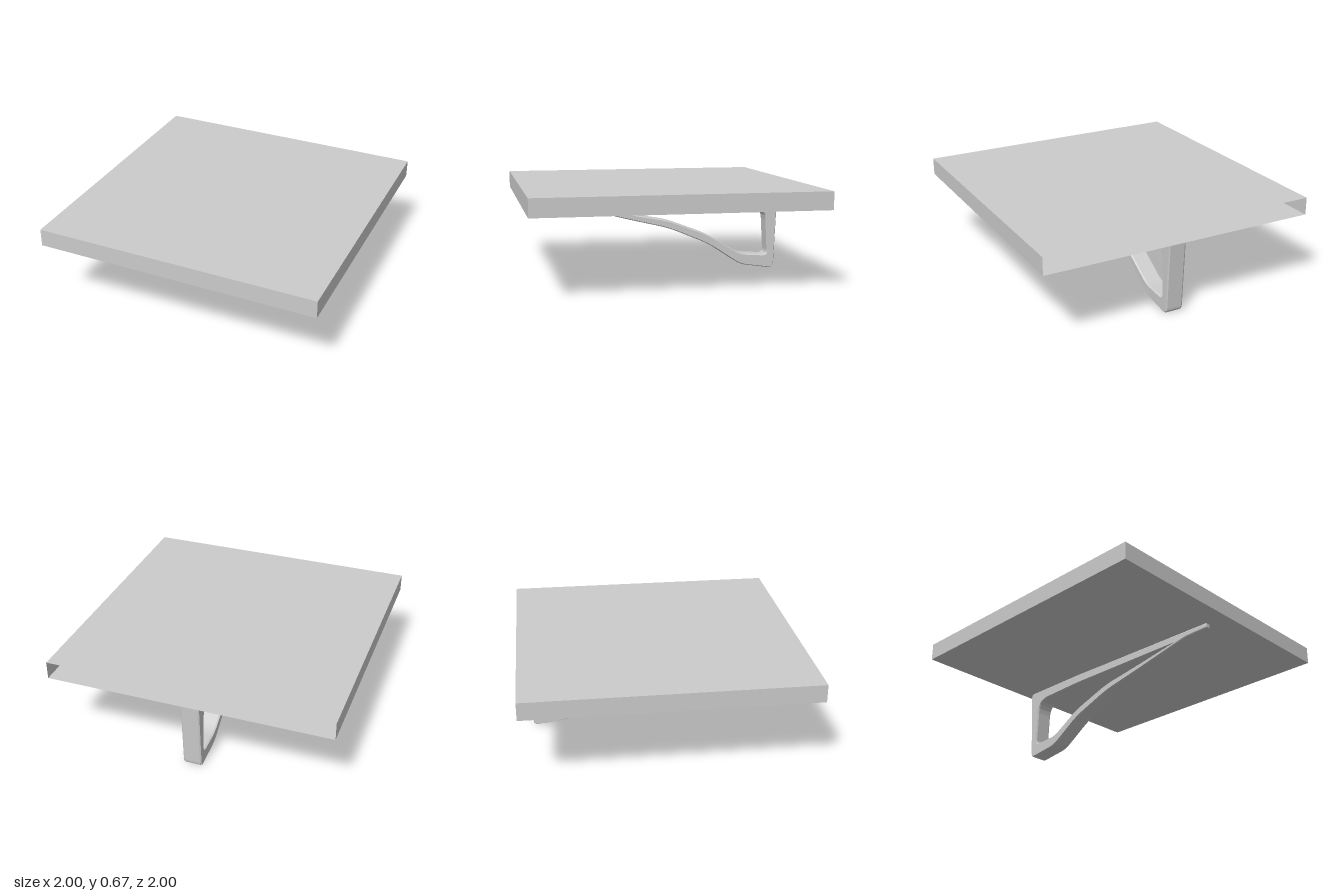
import * as THREE from 'three';

// Adds a closed polygon to a path; each point is [z, y, cornerRadius].
function roundedPath(path, pts) {
  const n = pts.length;
  pts.forEach(([x, y, r], i) => {
    const p = new THREE.Vector2(x, y);
    const toward = ([ax, ay]) => {
      const d = new THREE.Vector2(ax, ay).sub(p);
      return d.setLength(Math.min(r, d.length() * 0.45)).add(p);
    };
    const a = toward(pts[(i + n - 1) % n]);
    const b = toward(pts[(i + 1) % n]);
    if (i === 0) path.moveTo(a.x, a.y);
    else path.lineTo(a.x, a.y);
    if (r > 0) path.quadraticCurveTo(p.x, p.y, b.x, b.y);
  });
  path.closePath();
  return path;
}

export function createModel() {
  const group = new THREE.Group();

  // Hollow slab, open at the back: the last box face (-z) is dropped
  const slabGeo = new THREE.BoxGeometry(2, 0.125, 2);
  slabGeo.setIndex(Array.from(slabGeo.index.array).slice(0, 30));
  slabGeo.clearGroups();
  const slab = new THREE.Mesh(slabGeo,
    new THREE.MeshStandardMaterial({ color: 0xcccccc, side: THREE.DoubleSide }));
  slab.name = 'slab';
  slab.position.y = 0.6205;
  group.add(slab);

  // Bracket side profile with its long tapering opening
  const outline = roundedPath(new THREE.Shape(), [
    [0.84, 0.558, 0], [0.84, 0.525, 0.008], [0.65, 0.515, 0.03], [0.2, 0.4, 0.06],
    [-0.1, 0.33, 0.07], [-0.4, 0.205, 0.07], [-0.65, 0.04, 0.05], [-0.91, 0.003, 0.04],
    [-0.935, 0.557, 0.035], [-0.4, 0.558, 0],
  ]);
  outline.holes.push(roundedPath(new THREE.Path(), [
    [0.55, 0.506, 0], [-0.4, 0.486, 0], [-0.84, 0.472, 0.1], [-0.86, 0.105, 0.04],
    [-0.65, 0.12, 0.05], [-0.4, 0.27, 0.07], [-0.1, 0.385, 0.07], [0.2, 0.44, 0.06],
  ]));
  const half = 0.065, bevel = 0.01;
  const geo = new THREE.ExtrudeGeometry(outline, {
    depth: 2 * (half - bevel), curveSegments: 5,
    bevelThickness: bevel, bevelSize: 0.006, bevelOffset: -0.006, bevelSegments: 1,
  });
  geo.translate(0, 0, -(half - bevel));
  geo.rotateY(-Math.PI / 2);

  // Narrow the bracket towards its front tip
  const pos = geo.attributes.position;
  for (let i = 0; i < pos.count; i++) {
    const t = THREE.MathUtils.clamp((pos.getZ(i) + 0.4) / 1.24, 0, 1);
    pos.setX(i, pos.getX(i) * (1 - 0.7 * t));
  }
  geo.computeVertexNormals();
  const bracket = new THREE.Mesh(geo,
    new THREE.MeshStandardMaterial({ color: 0xcccccc, flatShading: true }));
  bracket.name = 'bracket';
  group.add(bracket);

  return group;
}
